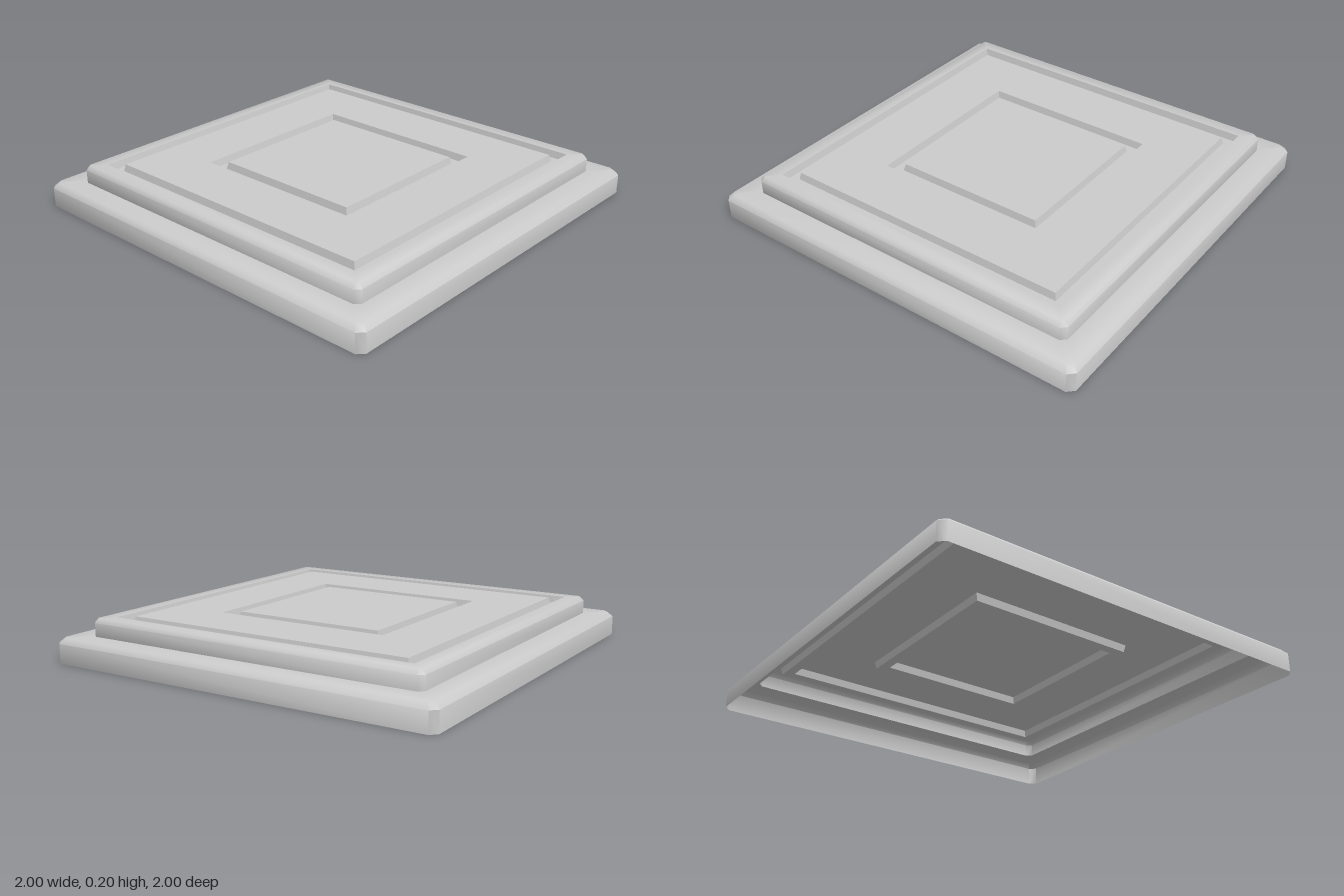
import * as THREE from 'three';
import { toCreasedNormals } from 'three/addons/utils/BufferGeometryUtils.js';

const material = new THREE.MeshStandardMaterial({ color: 0xcccccc, side: THREE.DoubleSide });

// Square ring with chamfered corners: half width h, height y, chamfer c
function ring([h, y, c = 0]) {
  const k = h - c;
  return [[h, -k], [h, k], [k, h], [-k, h], [-h, k], [-h, -k], [-k, -h], [k, -h]]
    .map(([x, z]) => new THREE.Vector3(x, y, z));
}

// Skin a stack of rings, listed from the outside inwards
function squareShell(name, profile) {
  const rings = profile.map(ring);
  const points = [];
  const triangle = (a, b, c) => {
    if (!a.equals(b) && !b.equals(c) && !c.equals(a)) points.push(a, b, c);
  };
  for (let r = 0; r < rings.length - 1; r++) {
    const a = rings[r], b = rings[r + 1];
    for (let i = 0; i < 8; i++) {
      const j = (i + 1) % 8;
      triangle(a[i], b[i], b[j]);
      triangle(a[i], b[j], a[j]);
    }
  }
  const geometry = toCreasedNormals(new THREE.BufferGeometry().setFromPoints(points), 0.9);
  const mesh = new THREE.Mesh(geometry, material);
  mesh.name = name;
  return mesh;
}

export function createModel() {
  const group = new THREE.Group();
  group.name = 'steppedPlinth';
  const top = 0.205, depth = 0.035, slope = 0.008;

  // Sunken channel between two half widths
  const groove = (name, outer, inner) => squareShell(name, [
    [outer, top], [outer - slope, top - depth], [inner + slope, top - depth], [inner, top],
  ]);

  group.add(
    // Hollow lower step, open underneath
    squareShell('baseStep', [[1, 0, 0.03], [1, 0.095, 0.03], [0.975, 0.12, 0.025], [0.88, 0.12, 0.025]]),
    // Narrower upper step with its bevelled rim
    squareShell('upperStep', [[0.88, 0.12, 0.025], [0.88, 0.185, 0.025], [0.86, top, 0.01], [0.797, top]]),
    groove('outerGroove', 0.797, 0.735),
    squareShell('field', [[0.735, top], [0.447, top]]),
    groove('innerGroove', 0.447, 0.383),
    squareShell('centrePanel', [[0.383, top], [0, top]]),
  );
  return group;
}
